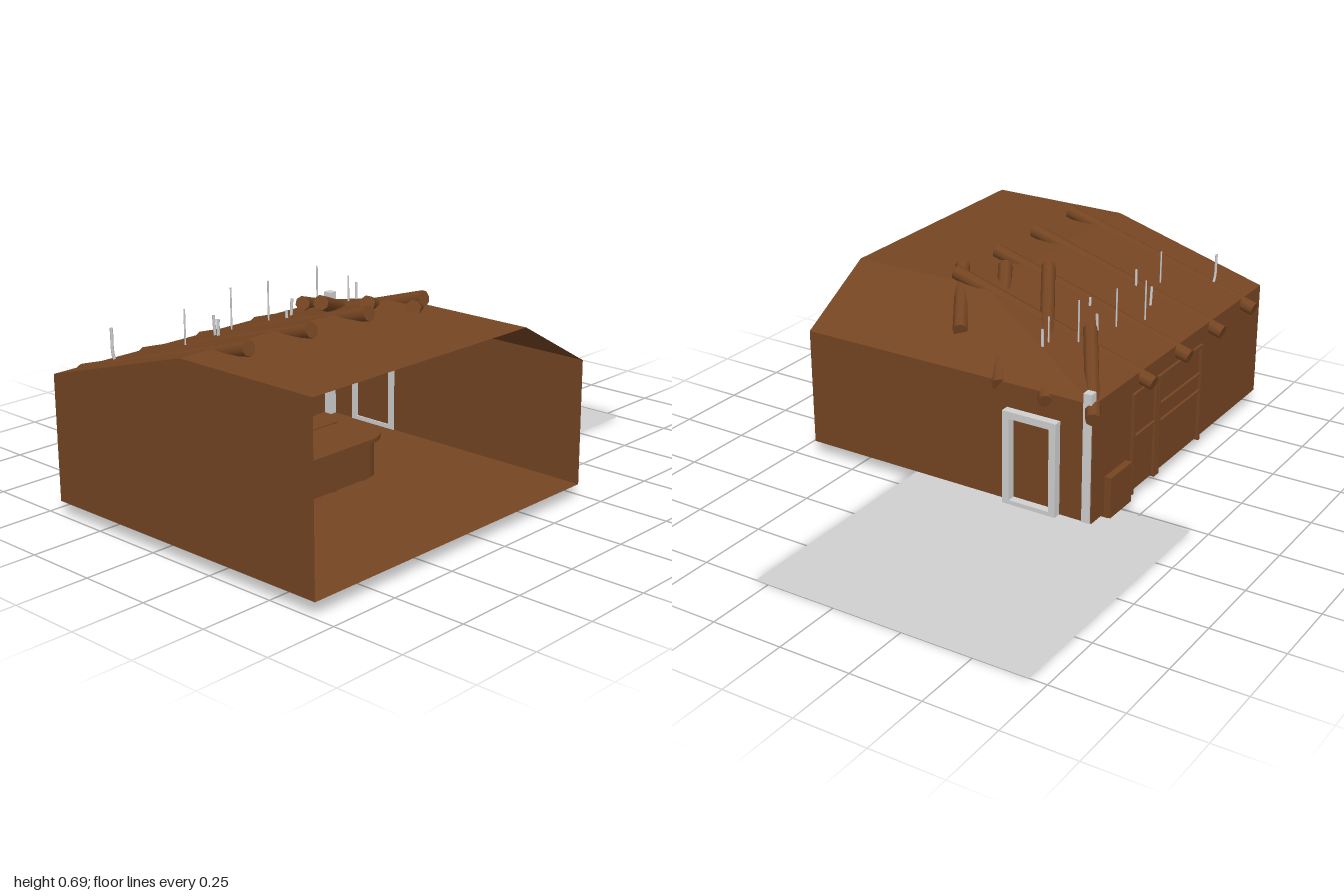
import * as THREE from 'three';

const V = (p) => new THREE.Vector3(...p);

export function createModel() {
  const model = new THREE.Group();
  const mat = (name, color, side = THREE.FrontSide) =>
    Object.assign(new THREE.MeshStandardMaterial({ color, side }), { name });
  const wallWood = mat('wallWood', 0x754522, THREE.DoubleSide);
  const wood = mat('beamWood', 0x754522);
  const grey = mat('paleGrey', 0xd0d0d0, THREE.DoubleSide);
  const white = mat('lampWhite', 0xf0f0f0);

  const add = (name, geo, material, pos = [0, 0, 0], parent = model) => {
    const m = new THREE.Mesh(geo, material);
    m.name = name;
    m.position.set(...pos);
    parent.add(m);
    return m;
  };
  // box given by its minimum and maximum corners
  const box = (name, a, b, material, parent = model) =>
    add(name, new THREE.BoxGeometry(...a.map((v, i) => b[i] - v)), material,
      a.map((v, i) => (v + b[i]) / 2), parent);
  // flat polygon as a triangle fan
  const poly = (name, pts, material, parent = model) => {
    const tris = [];
    for (let i = 1; i < pts.length - 1; i++) tris.push(...pts[0], ...pts[i], ...pts[i + 1]);
    const g = new THREE.BufferGeometry();
    g.setAttribute('position', new THREE.Float32BufferAttribute(tris, 3));
    g.computeVertexNormals();
    return add(name, g, material, [0, 0, 0], parent);
  };
  // cylinder between two points
  const rod = (name, a, b, r, sides, material, parent = model) => {
    const d = V(b).sub(V(a));
    const m = add(name, new THREE.CylinderGeometry(r, r, d.length(), sides), material,
      V(a).add(V(b)).multiplyScalar(0.5).toArray(), parent);
    m.quaternion.setFromUnitVectors(new THREE.Vector3(0, 1, 0), d.normalize());
    return m;
  };

  // ground sheet behind the room
  poly('groundSheet', [[-0.69, 0, -0.01], [0.3, 0, -0.01], [0.3, 0, -1], [-0.69, 0, -1]], grey);

  // room shell, open on the +x side
  const L = -0.44, R = 0.68, B = -0.22, F = 1, y0 = 0.05, eave = 0.47, top = 0.64, rx = 0.15, rz = 0.08;
  const shell = new THREE.Group();
  shell.name = 'roomShell';
  model.add(shell);
  const face = (name, pts) => poly(name, pts, wallWood, shell);
  face('floor', [[L, y0, F], [R, y0, F], [R, y0, B], [L, y0, B]]);
  face('frontWall', [[L, y0, F], [R, y0, F], [R, top, F], [rx, top, F], [L, eave, F]]);
  face('sideWall', [[L, y0, B], [L, y0, F], [L, eave, F], [L, eave, B]]);
  face('backWall', [[R, y0, B], [L, y0, B], [L, eave, B], [R, eave, B]]);
  face('sideRoof', [[L, eave, F], [rx, top, F], [rx, top, rz], [L, eave, B]]);
  face('flatRoof', [[rx, top, F], [R, top, F], [R, top, rz], [rx, top, rz]]);
  face('backRoof', [[rx, top, rz], [R, top, rz], [R, eave, B], [L, eave, B]]);

  // straight beams along the side slope
  for (const z of [0.095, 0.35, 0.6, 0.855])
    rod('roofBeam', [-0.485, 0.435, z], [0.285, 0.665, z], 0.025, 8, wood);

  // slanted beams over the hip
  [
    [[-0.455, 0.435, -0.25], [-0.23, 0.56, 0.12]],
    [[-0.27, 0.445, -0.23], [0.06, 0.655, 0.33]],
    [[-0.09, 0.455, -0.22], [0.185, 0.66, 0.25]],
    [[0.14, 0.55, -0.1], [0.315, 0.655, 0.18]],
  ].forEach(([a, b]) => rod('hipBeam', a, b, 0.025, 8, wood));

  // back door frame and corner post
  const door = new THREE.Group();
  door.name = 'doorFrame';
  model.add(door);
  for (const x of [-0.32, -0.145]) box('doorJamb', [x, 0.05, -0.25], [x + 0.025, 0.385, -0.215], grey, door);
  box('doorLintel', [-0.32, 0.36, -0.25], [-0.12, 0.385, -0.215], grey, door);
  box('doorSill', [-0.32, 0.05, -0.25], [-0.12, 0.065, -0.215], grey, door);
  box('cornerPost', [-0.435, 0.05, -0.225], [-0.405, 0.505, -0.195], grey);

  // box and floor board at the side wall
  box('sideCabinet', [-0.465, 0.04, -0.14], [-0.425, 0.185, 0], wood);
  box('floorBoard', [-0.455, 0.038, -0.14], [-0.32, 0.055, 0], wood);

  // side door and shelving set through the side wall
  const frame = (name, z0, z1, rails) => {
    const g = new THREE.Group();
    g.name = name;
    model.add(g);
    for (const z of [z0, z1]) box(name + 'Post', [-0.452, 0.045, z - 0.006], [-0.425, 0.41, z + 0.006], wood, g);
    for (const y of rails) box(name + 'Rail', [-0.45, y - 0.005, z0], [-0.425, y + 0.005, z1], wood, g);
  };
  frame('sideDoor', 0.035, 0.19, [0.25, 0.405]);
  frame('shelf', 0.21, 0.52, [0.235, 0.3, 0.405]);

  // counter with rounded ends
  const slab = (w, z0, z1, h) => {
    const s = new THREE.Shape();
    const r = w / 2;
    s.absarc(0, -z0 - r, r, 0, Math.PI, false);
    s.absarc(0, -z1 + r, r, Math.PI, 2 * Math.PI, false);
    return new THREE.ExtrudeGeometry(s, { depth: h, bevelEnabled: false, curveSegments: 10 })
      .rotateX(-Math.PI / 2);
  };
  add('counterTop', slab(0.2, 0.1, 0.86, 0.015), wood, [0.06, 0.175, 0]);
  add('counterBase', slab(0.16, 0.12, 0.84, 0.125), wood, [0.06, 0.05, 0]);
  for (const z of [0.22, 0.36, 0.5, 0.64])
    box('counterBatten', [-0.025, 0.05, z - 0.008], [0.145, 0.175, z + 0.008], wood);

  // globe lamps on rods
  [
    [-0.2, 0.44, 0.67, 0.655], [-0.29, 0.415, 0.39, 0.655], [-0.25, 0.44, 0.26, 0.66],
    [-0.22, 0.49, 0.06, 0.68], [-0.16, 0.42, -0.03, 0.64],
  ].forEach(([x, y, z, h]) => {
    add('globeLamp', new THREE.SphereGeometry(0.04, 20, 14), white, [x, y, z]);
    rod('lampRod', [x, y, z], [x, h, z], 0.003, 6, grey);
  });

  // hanging chains with ends rising through the roof
  [
    [[-0.325, 0.61, 0.86], [-0.155, 0.61, 0.57], 0.42],
    [[-0.255, 0.59, 0.5], [-0.22, 0.59, 0.18], 0.32],
    [[-0.125, 0.59, 0.3], [-0.16, 0.61, -0.07], 0.42],
  ].forEach(([a, b, dip]) => {
    const at = (t, y) => new THREE.Vector3(a[0] + (b[0] - a[0]) * t, y, a[2] + (b[2] - a[2]) * t);
    const path = new THREE.CatmullRomCurve3([
      V(a), at(0.03, 0.5), at(0.22, dip + 0.03), at(0.5, dip), at(0.78, dip + 0.03), at(0.97, 0.5), V(b),
    ]);
    add('chain', new THREE.TubeGeometry(path, 40, 0.005, 6), grey);
  });

  return model;
}
